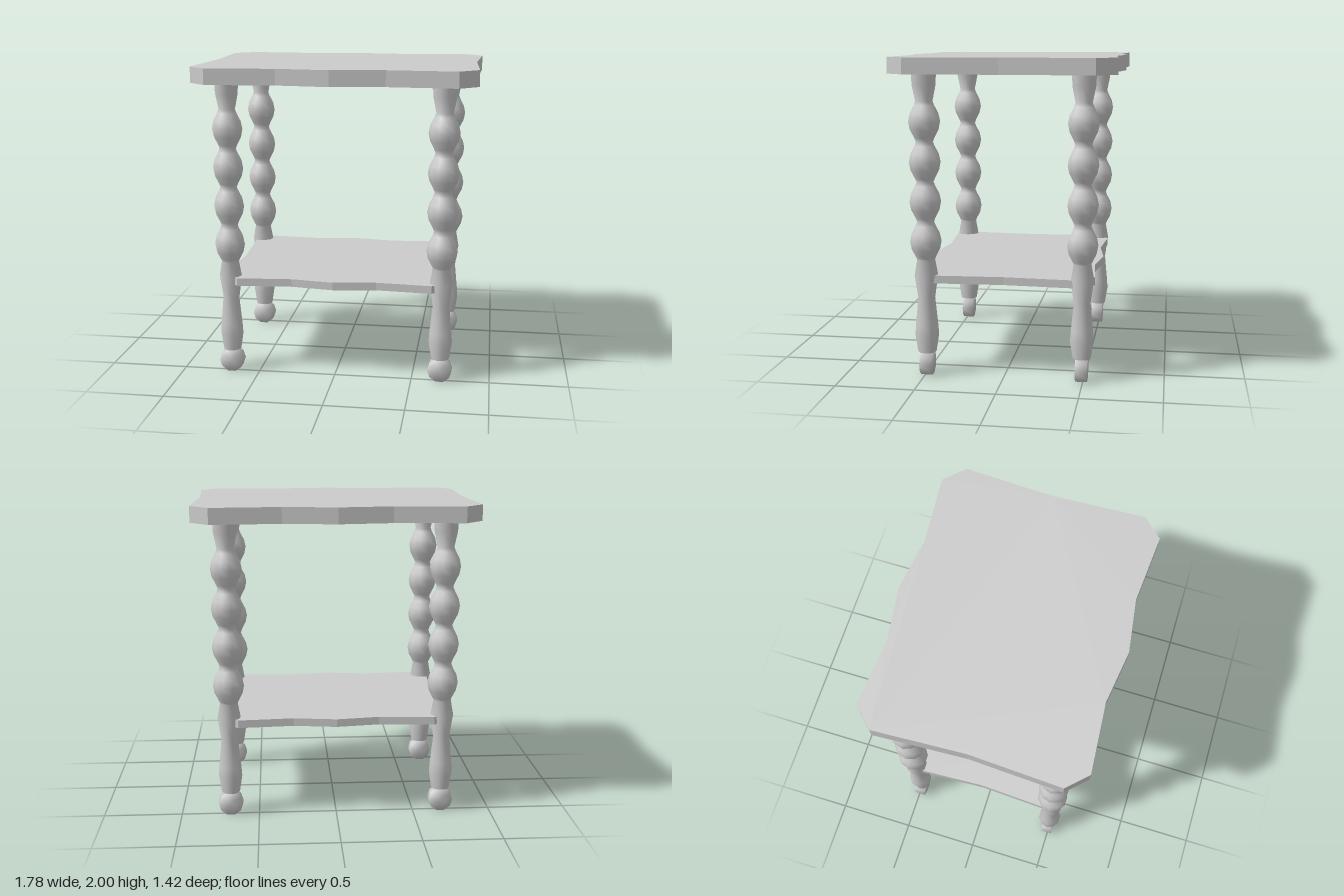
import * as THREE from 'three';
import { mergeVertices, toCreasedNormals } from 'three/addons/utils/BufferGeometryUtils.js';

const SIDES = 10;

// One quarter of the wavy board outline, mirrored into a full loop.
function boardShape(scale) {
  const quarter = [[0.86, 0], [0.888, 0.573], [0.77, 0.695], [0.335, 0.661], [0, 0.708]];
  const half = [...quarter, ...quarter.slice(0, -1).reverse().map(([x, z]) => [-x, z])];
  const loop = [...half, ...half.slice(1, -1).reverse().map(([x, z]) => [x, -z])];
  return new THREE.Shape(loop.map(([x, z]) => new THREE.Vector2(x * scale, z * scale)));
}

function board(name, scale, bottom, thickness, material) {
  const geometry = new THREE.ExtrudeGeometry(boardShape(scale), { depth: thickness, bevelEnabled: false });
  geometry.rotateX(-Math.PI / 2);
  const mesh = new THREE.Mesh(geometry, material);
  mesh.name = name;
  mesh.position.y = bottom;
  return mesh;
}

// Turned leg: flared base, four beads, flared top.
function legGeometry() {
  const profile = [[0, 0.15], [0.058, 0.15], [0.075, 0.26], [0.07, 0.33], [0.053, 0.5], [0.074, 0.645], [0.056, 0.745]];
  for (const y of [0.86, 1.11, 1.357, 1.607]) {
    profile.push([0.062, y - 0.1], [0.088, y - 0.05], [0.098, y], [0.088, y + 0.05], [0.062, y + 0.1], [0.053, y + 0.124]);
  }
  profile.push([0.073, 1.83], [0.076, 1.9]);
  const geometry = new THREE.LatheGeometry(profile.map(([r, y]) => new THREE.Vector2(r, y)), SIDES);
  geometry.rotateY(Math.PI / 2);
  return toCreasedNormals(geometry, 1.25);
}

// Disc foot with its axis running front to back, softly shaded.
function footGeometry() {
  const geometry = new THREE.CylinderGeometry(0.078, 0.078, 0.074, SIDES);
  geometry.rotateY(Math.PI / 2).rotateX(Math.PI / 2);
  geometry.deleteAttribute('normal');
  geometry.deleteAttribute('uv');
  const smooth = mergeVertices(geometry);
  smooth.computeVertexNormals();
  return smooth;
}

export function createModel() {
  const model = new THREE.Group();
  model.name = 'sideTable';
  const wood = new THREE.MeshStandardMaterial({ color: 0xcccccc });
  wood.name = 'pale grey';

  model.add(board('tabletop', 1, 1.9, 0.1, wood));
  model.add(board('lowerShelf', 0.81, 0.6, 0.05, wood));

  const legShape = legGeometry();
  const footShape = footGeometry();
  for (const [sx, side] of [[1, 'Left'], [-1, 'Right']]) {
    for (const [sz, end] of [[1, 'front'], [-1, 'back']]) {
      const leg = new THREE.Group();
      leg.name = `${end}${side}Leg`;
      const post = new THREE.Mesh(legShape, wood);
      post.name = 'turnedPost';
      const foot = new THREE.Mesh(footShape, wood);
      foot.name = 'discFoot';
      foot.position.y = 0.076;
      leg.add(post, foot);
      leg.position.set(sx * 0.682, 0, sz * 0.49);
      model.add(leg);
    }
  }
  return model;
}
